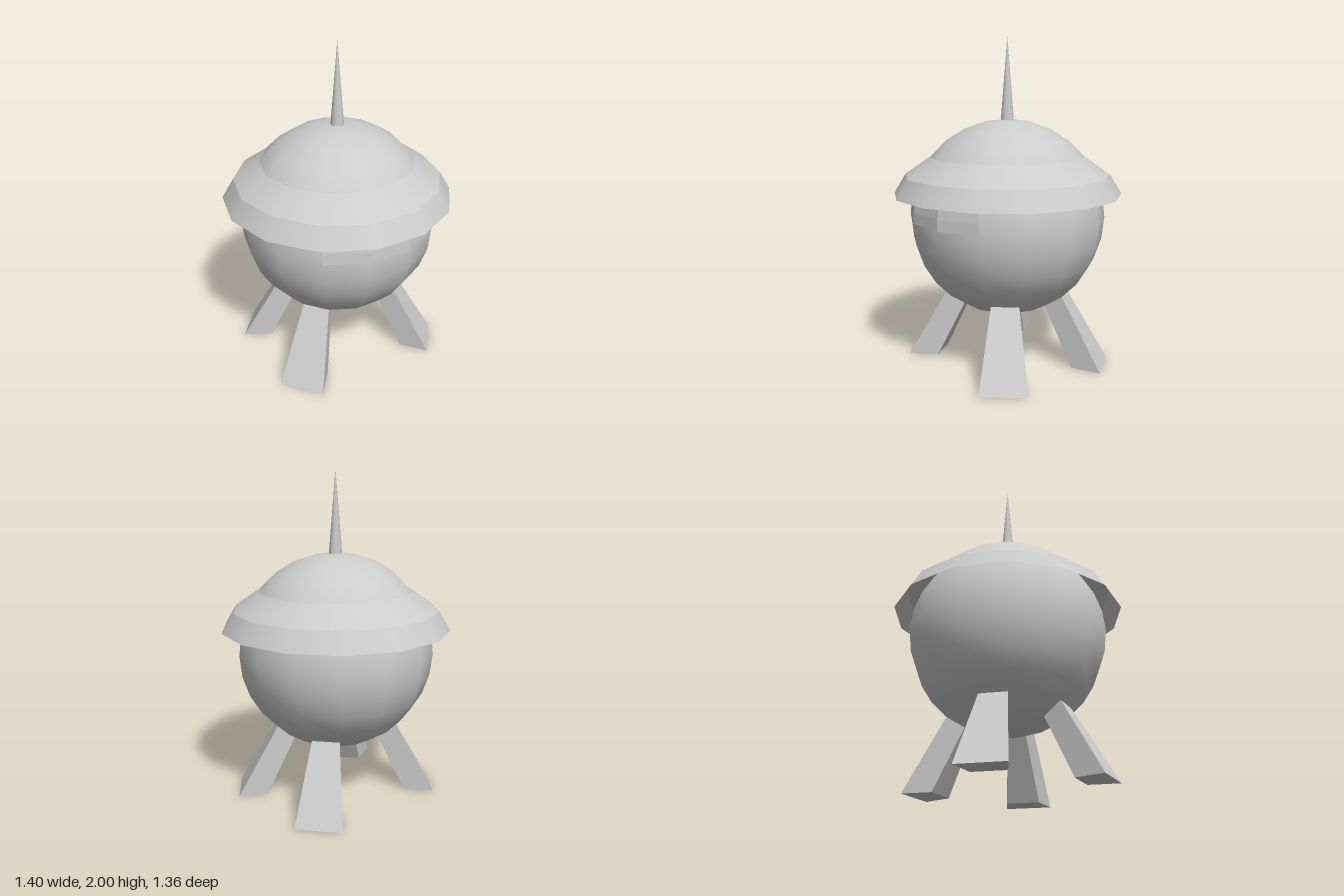
import * as THREE from 'three';

const SIDES = 14;
const STEP = (Math.PI * 2) / SIDES; // one facet around the body
const R = 0.6;
const CY = 0.91;

export function createModel() {
  const model = new THREE.Group();
  model.name = 'sphericalPod';
  const smooth = new THREE.MeshStandardMaterial({ color: 0xcccccc });
  const sheet = new THREE.MeshStandardMaterial({ color: 0xcccccc, side: THREE.DoubleSide });
  const flat = new THREE.MeshStandardMaterial({ color: 0xcccccc, flatShading: true });

  function add(name, geometry, material, y = 0) {
    const mesh = new THREE.Mesh(geometry, material);
    mesh.name = name;
    mesh.position.y = y;
    model.add(mesh);
    return mesh;
  }

  // Round body
  add('body', new THREE.SphereGeometry(R, SIDES, 14), smooth, CY);

  // Front window: three facets just above the equator
  add('window', new THREE.SphereGeometry(R + 0.002, 3, 1,
    Math.PI / 2 - 1.5 * STEP, 3 * STEP, Math.PI / 2 - STEP / 2, STEP / 2), flat, CY);

  // Flared hat brim: thin open bands from the dome down to the rim
  const brim = [[0.469, 1.284], [0.63, 1.172], [0.7, 1.055]];
  for (let i = 0; i < 2; i++) {
    const [r0, y0] = brim[i];
    const [r1, y1] = brim[i + 1];
    const band = new THREE.CylinderGeometry(r0, r1, y0 - y1, SIDES, 1, true);
    band.rotateY(Math.PI / 2);
    add(i ? 'lowerBrim' : 'upperBrim', band, sheet, (y0 + y1) / 2);
  }

  // Antenna spike
  add('antenna', new THREE.ConeGeometry(0.04, 0.495, SIDES), smooth, 1.7525);

  // Four splayed legs, each growing out of one body facet
  const corners = { // [radius, height]
    topOuter: [0.374, 0.441], topInner: [0.26, 0.369],
    bottomOuter: [0.63, 0], bottomInner: [0.445, 0],
  };
  const leg = new THREE.BoxGeometry(1, 1, 1);
  const p = leg.attributes.position;
  for (let i = 0; i < p.count; i++) {
    const key = (p.getY(i) > 0 ? 'top' : 'bottom') + (p.getX(i) > 0 ? 'Outer' : 'Inner');
    const [r, y] = corners[key];
    const a = Math.sign(p.getZ(i)) * STEP / 2;
    p.setXYZ(i, r * Math.cos(a), y, r * Math.sin(a));
  }
  leg.computeVertexNormals();
  const spread = 1.5 * STEP;
  const legs = {
    frontLeftLeg: spread, frontRightLeg: Math.PI - spread,
    backRightLeg: Math.PI + spread, backLeftLeg: -spread,
  };
  for (const [name, angle] of Object.entries(legs)) {
    add(name, leg, flat).rotation.y = -angle;
  }
  return model;
}
